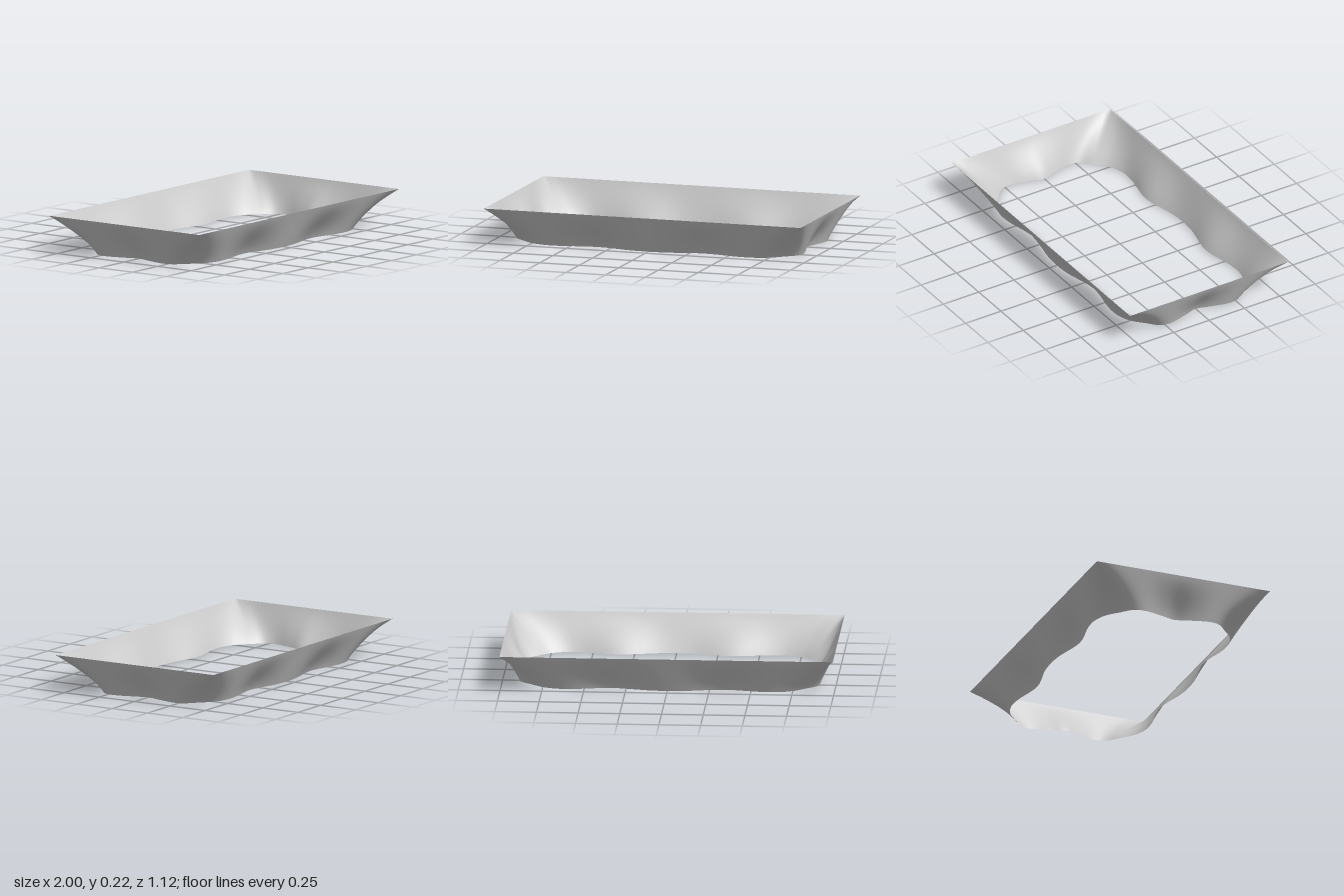
import * as THREE from 'three';

const HEIGHT = 0.223, SUB = 5, ROWS = 14;

// One quarter of the skirt: rim x, rim z, hem x, hem z, corner weight
const QUARTER = [
  [0, 0.56, 0, 0.447, 0],
  [0.12, 0.56, 0.11, 0.44, 0],
  [0.365, 0.56, 0.335, 0.397, 0],
  [0.61, 0.56, 0.56, 0.434, 0],
  [0.74, 0.56, 0.66, 0.434, 0],
  [0.89, 0.56, 0.75, 0.402, 0.6],
  [1, 0.56, 0.825, 0.337, 1],
  [1, 0.43, 0.888, 0.277, 0.6],
  [1, 0.27, 0.902, 0.21, 0],
  [1, 0.11, 0.873, 0.085, 0],
  [1, 0, 0.85, 0, 0],
];

// Mirror the quarter into a closed loop of columns
function fullLoop() {
  const flip = (list, sx, sz) => list.map(([a, b, c, d, k]) => [a * sx, b * sz, c * sx, d * sz, k]);
  const back = [...QUARTER].reverse();
  return [
    ...flip(QUARTER, 1, 1).slice(0, -1),
    ...flip(back, 1, -1).slice(0, -1),
    ...flip(QUARTER, -1, -1).slice(0, -1),
    ...flip(back, -1, 1).slice(0, -1),
  ];
}

function skirtGeometry() {
  const cols = fullLoop(), n = cols.length, total = n * SUB;
  const hem = new THREE.CatmullRomCurve3(cols.map(c => new THREE.Vector3(c[2], 0, c[3])), true);
  const pos = [], index = [];
  for (let i = 0; i < total; i++) {
    const j = Math.floor(i / SUB), f = (i % SUB) / SUB;
    const mix = m => THREE.MathUtils.lerp(cols[j][m], cols[(j + 1) % n][m], f);
    const x = mix(0), z = mix(1), corner = mix(4);
    const end = hem.getPoint(i / total);
    for (let r = 0; r <= ROWS; r++) {
      const t = r / ROWS;
      // straight taper, with the waves and rounded corners eased in downwards
      const wave = t * t * (3 - 2 * t), round = 1 - Math.pow(1 - t, 1.6);
      const s = THREE.MathUtils.lerp(wave, round, corner);
      const bx = x * 0.905, bz = z * 0.797;
      pos.push(
        x + (bx - x) * t + (end.x - bx) * s,
        HEIGHT * (1 - t),
        z + (bz - z) * t + (end.z - bz) * s,
      );
      if (r < ROWS) {
        const a = i * (ROWS + 1) + r, b = ((i + 1) % total) * (ROWS + 1) + r;
        index.push(a, a + 1, b + 1, a, b + 1, b);
      }
    }
  }
  const geo = new THREE.BufferGeometry();
  geo.setAttribute('position', new THREE.Float32BufferAttribute(pos, 3));
  geo.setIndex(index);
  geo.computeVertexNormals();
  return geo;
}

export function createModel() {
  const group = new THREE.Group();
  group.name = 'wavySkirt';
  // Open sheet: rectangular rim above, scalloped hem below
  const skirt = new THREE.Mesh(
    skirtGeometry(),
    new THREE.MeshStandardMaterial({ color: 0xcccccc, side: THREE.DoubleSide }),
  );
  skirt.name = 'skirt';
  group.add(skirt);
  return group;
}
